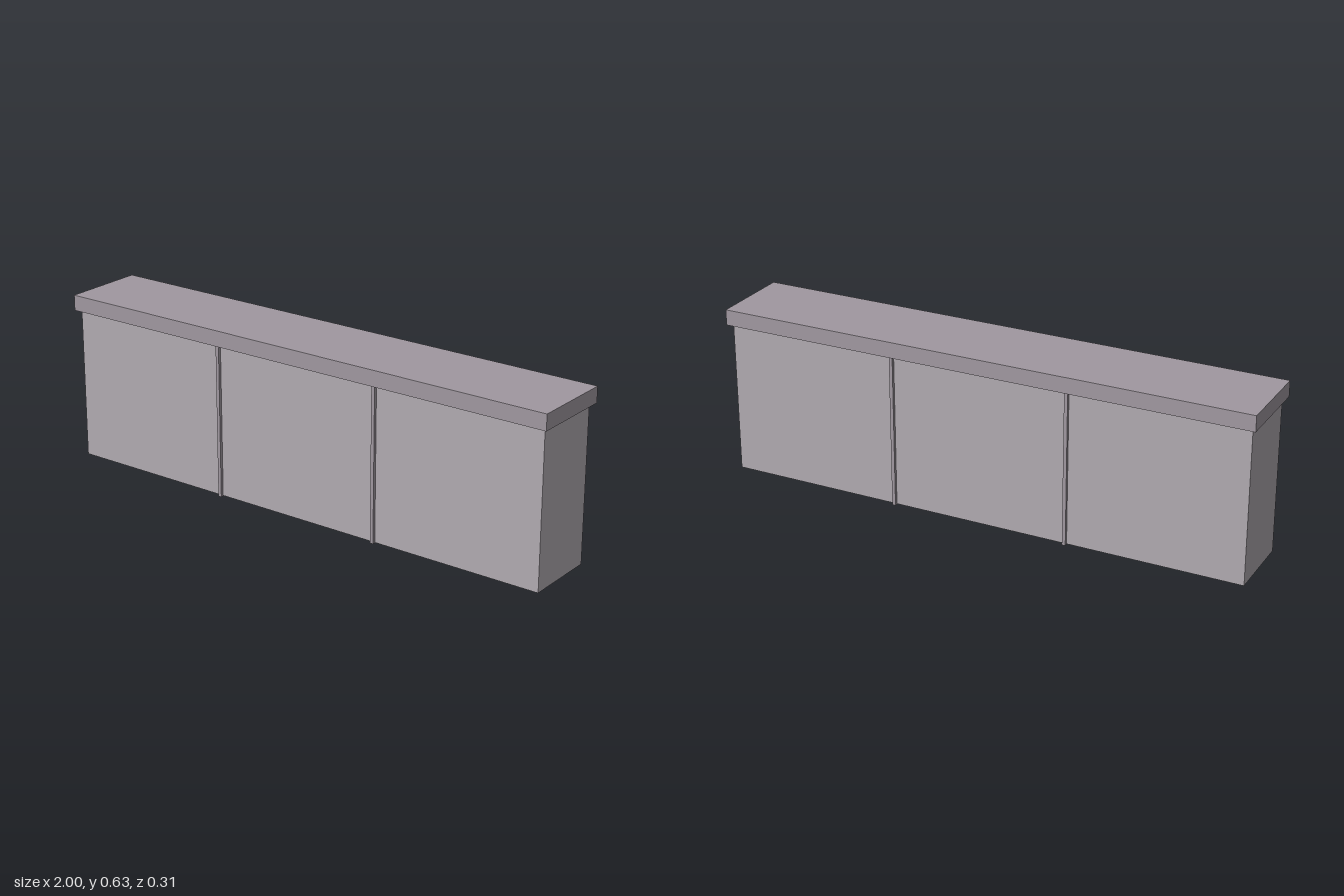
import * as THREE from 'three';

const bodyMat = new THREE.MeshStandardMaterial({ color: 0xb0aab0 });
const trimMat = new THREE.MeshStandardMaterial({ color: 0xa098a0 });

// Box spanning y0..y1, centred on x and z = 0
function slab(name, material, width, y0, y1, depth, x = 0) {
  const mesh = new THREE.Mesh(new THREE.BoxGeometry(width, y1 - y0, depth), material);
  mesh.name = name;
  mesh.position.set(x, (y0 + y1) / 2, 0);
  return mesh;
}

export function createModel() {
  const group = new THREE.Group();
  group.name = 'cappedWall';

  // Main wall, a hair above the strip feet
  group.add(slab('wallBody', bodyMat, 1.968, 0.002, 0.57, 0.273));

  // Thin joint strips running through the wall, proud of both faces
  for (const side of [-1, 1]) {
    group.add(slab(side > 0 ? 'leftJointStrip' : 'rightJointStrip', trimMat, 0.013, 0, 0.57, 0.295, side * 0.333));
  }

  // Overhanging coping
  group.add(slab('coping', trimMat, 2, 0.57, 0.628, 0.313));
  return group;
}
